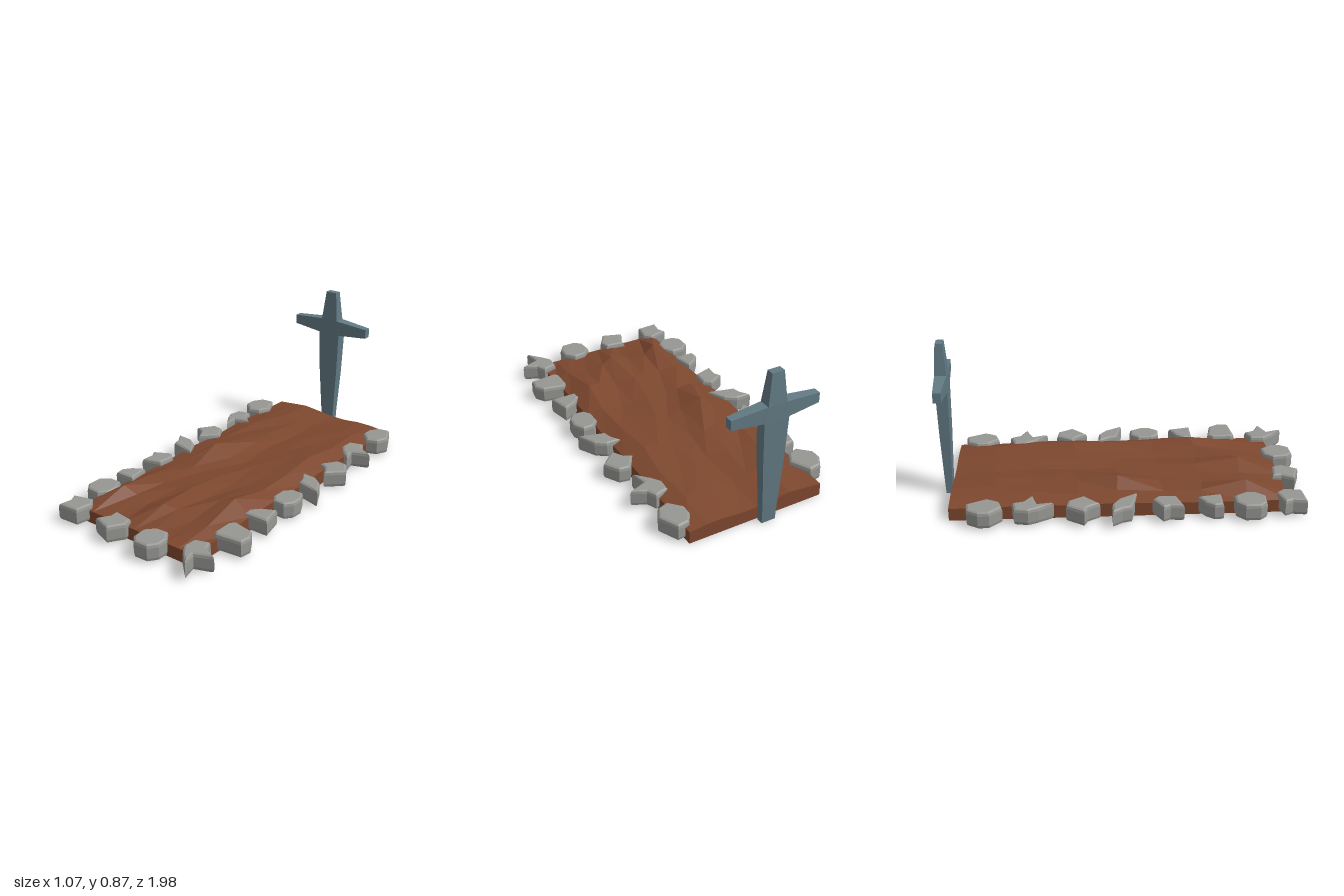
import * as THREE from 'three';

const mat = (color) => new THREE.MeshStandardMaterial({ color, flatShading: true, side: THREE.DoubleSide });

// Box-like loft along y through stations of [y, halfX, halfZ]
function loft(stations) {
  const pos = [], index = [], last = (stations.length - 1) * 4;
  for (const [y, hx, hz] of stations) pos.push(-hx, y, hz, hx, y, hz, hx, y, -hz, -hx, y, -hz);
  for (let r = 0; r < last; r += 4) {
    for (let i = 0; i < 4; i++) {
      const a = r + i, b = r + (i + 1) % 4;
      index.push(a, b, b + 4, a, b + 4, a + 4);
    }
  }
  index.push(0, 2, 1, 0, 3, 2, last, last + 1, last + 2, last, last + 2, last + 3);
  const g = new THREE.BufferGeometry();
  g.setAttribute('position', new THREE.Float32BufferAttribute(pos, 3));
  g.setIndex(index);
  const flat = g.toNonIndexed();
  flat.computeVertexNormals();
  return flat;
}

// Surface heights in hundredths, back row to front row
const HEIGHTS = [
  [7, 8, 9, 8, 7, 7, 8, 8, 7],
  [7, 9, 10, 9, 8, 9, 10, 10, 7],
  [8, 10, 9, 10, 9, 10, 10, 11, 8],
  [7, 9, 11, 11, 9, 10, 11, 12, 8],
  [8, 10, 15, 10, 9, 10, 10, 11, 7],
  [7, 9, 10, 9, 10, 9, 9, 11, 8],
  [7, 10, 9, 10, 11, 9, 12, 14, 8],
  [7, 14, 10, 9, 13, 11, 9, 10, 7],
  [7, 7, 7, 7, 7, 7, 7, 7, 7],
];

function makeMound() {
  const g = new THREE.BoxGeometry(0.78, 1, 1.8, 8, 1, 8);
  const p = g.attributes.position;
  for (let i = 0; i < p.count; i++) {
    const c = Math.round((p.getX(i) / 0.78 + 0.5) * 8);
    const r = Math.round((p.getZ(i) / 1.8 + 0.5) * 8);
    const top = p.getY(i) > 0;
    p.setY(i, top ? HEIGHTS[r][c] / 100 : 0);
    // skew the inner grid slightly so the clods look irregular
    if (top && c % 8 && r % 8) {
      p.setX(i, p.getX(i) + 0.015 * Math.sin(r * 2.3 + c * 4.1));
      p.setZ(i, p.getZ(i) + 0.015 * Math.sin(r * 3.7 + c * 1.9));
    }
  }
  g.translate(-0.01, 0, -0.04);
  g.computeVertexNormals();
  const mesh = new THREE.Mesh(g, mat(0x7d472e));
  mesh.name = 'earthMound';
  return mesh;
}

function makeCross() {
  const cross = new THREE.Group();
  cross.name = 'cross';
  const m = mat(0x627a84);
  const post = new THREE.Mesh(loft([
    [0, 0.04, 0.017], [0.1, 0.043, 0.021], [0.36, 0.06, 0.028],
    [0.61, 0.07, 0.032], [0.7, 0.053, 0.032], [0.87, 0.034, 0.02],
  ]), m);
  post.name = 'crossPost';
  const armGeo = loft([[-0.25, 0.027, 0.021], [-0.05, 0.045, 0.032], [0.05, 0.045, 0.032], [0.25, 0.027, 0.021]]);
  const arms = new THREE.Mesh(armGeo.rotateZ(-Math.PI / 2).translate(0, 0.655, 0), m);
  arms.name = 'crossArms';
  cross.add(post, arms);
  cross.position.set(-0.05, 0, -0.968);
  return cross;
}

// Stone outlines seen from above, as [x, z]
const OUTLINES = {
  round: [[-0.08, -0.03], [-0.04, -0.09], [0.03, -0.1], [0.085, 0.01], [0.05, 0.075], [-0.015, 0.095], [-0.08, 0.03]],
  notched: [[-0.085, 0], [-0.08, -0.075], [0, -0.1], [0.025, -0.045], [0.1, -0.005], [0.005, 0.035], [0.025, 0.12], [-0.05, 0.05]],
  pointed: [[-0.085, 0], [-0.02, -0.095], [0.04, -0.085], [0.09, 0], [0, 0.085], [-0.04, 0.02]],
  fin: [[-0.1, -0.065], [-0.01, -0.065], [0.05, -0.025], [0.105, 0.075], [-0.05, 0.04], [-0.065, -0.01]],
  wedge: [[-0.065, 0.01], [-0.03, -0.035], [0.035, -0.07], [0.06, 0.06], [-0.06, 0.06]],
  block: [[-0.09, -0.05], [-0.065, -0.08], [0.055, -0.055], [0.09, 0], [0.08, 0.065], [-0.07, 0.08], [-0.09, 0.06]],
  octagon: [[-0.08, -0.04], [-0.03, -0.085], [0.04, -0.085], [0.08, -0.02], [0.075, 0.04], [0.035, 0.085], [-0.045, 0.08], [-0.08, 0.04]],
};

// [outline, x, z, turn, x scale, z scale]
const STONES = [
  ['round', -0.435, -0.75, 0], ['notched', -0.42, -0.51, -0.15, 0.9, 1],
  ['pointed', -0.435, -0.23, 0], ['fin', -0.435, -0.02, 0],
  ['pointed', -0.44, 0.22, -0.55, 0.85, 1], ['wedge', -0.425, 0.44, 0],
  ['octagon', -0.43, 0.65, 0], ['pointed', -0.41, 0.88, -0.7],
  ['pointed', -0.135, 0.89, -1.1], ['octagon', 0.14, 0.895, 0.1],
  ['round', 0.395, -0.81, 0, 0.95, 1], ['notched', 0.4, -0.55, 0],
  ['pointed', 0.425, -0.28, 0], ['fin', 0.425, -0.06, 0, 0.93, 1],
  ['octagon', 0.43, 0.15, 0, 0.85, 1], ['wedge', 0.425, 0.37, 0, 1.2, 1],
  ['block', 0.44, 0.605, 0], ['notched', 0.4, 0.855, 0],
];

function makeStones() {
  const group = new THREE.Group();
  group.name = 'stoneBorder';
  const m = mat(0x969693);
  const bevel = 0.02;
  const geos = {};
  for (const [key, pts] of Object.entries(OUTLINES)) {
    const shape = new THREE.Shape(pts.map(([x, z]) => new THREE.Vector2(x, -z)));
    geos[key] = new THREE.ExtrudeGeometry(shape, {
      depth: 0.095 - 2 * bevel, bevelThickness: bevel, bevelSize: 0.013, bevelOffset: -0.013, bevelSegments: 2,
    }).rotateX(-Math.PI / 2).translate(0, bevel, 0);
  }
  for (const [key, x, z, turn, sx = 1, sz = 1] of STONES) {
    const stone = new THREE.Mesh(geos[key], m);
    stone.name = 'stone';
    stone.position.set(x, 0.008, z);
    stone.rotation.y = turn;
    stone.scale.set(sx, 1, sz);
    group.add(stone);
  }
  return group;
}

export function createModel() {
  const model = new THREE.Group();
  model.name = 'grave';
  model.add(makeMound(), makeCross(), makeStones());
  return model;
}
